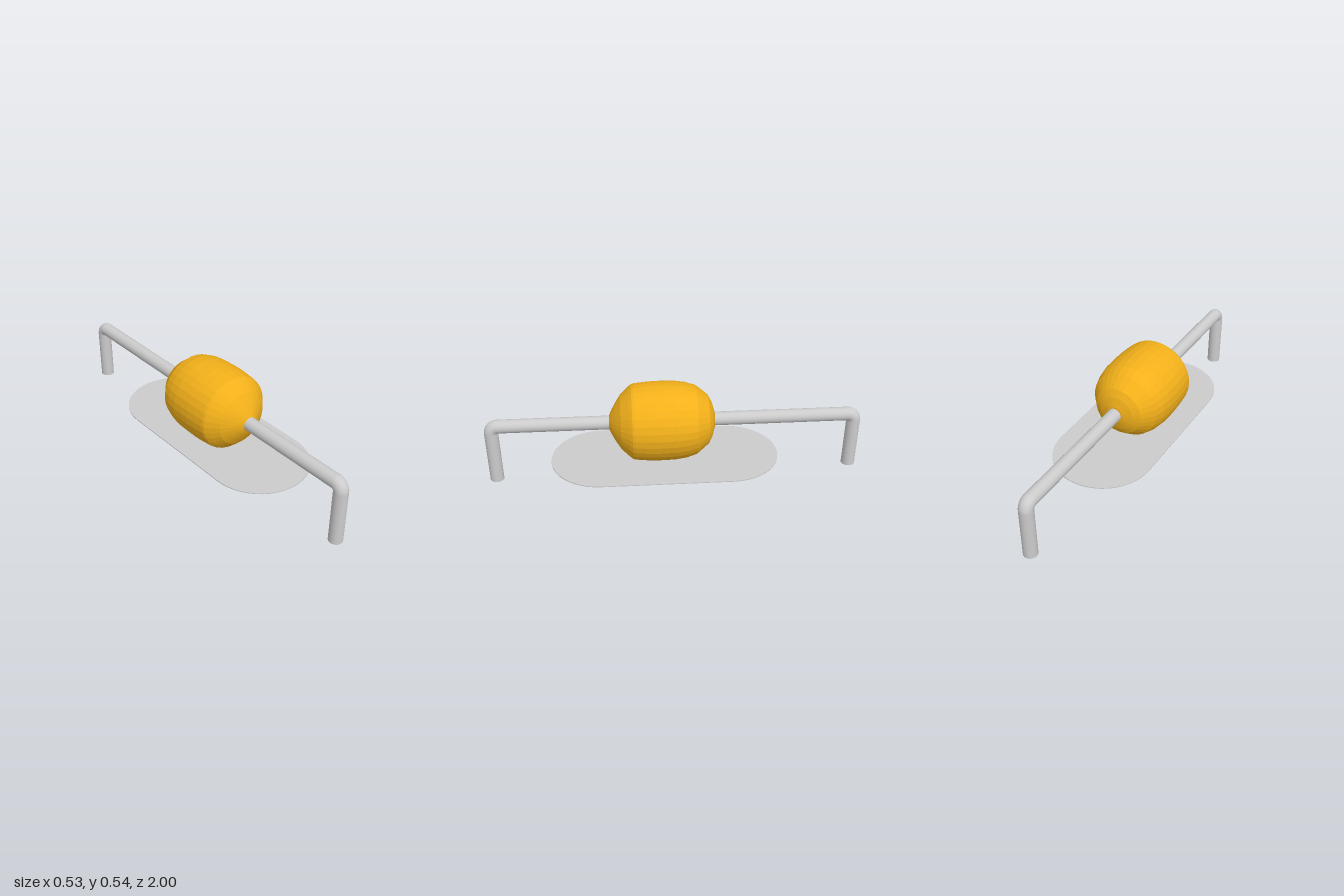
import * as THREE from 'three';

const AXIS_X = -0.02, AXIS_Y = 0.33, WIRE_R = 0.0365;

export function createModel() {
  const model = new THREE.Group();
  const grey = new THREE.MeshStandardMaterial({ color: 0xcccccc });
  const amber = new THREE.MeshStandardMaterial({ color: 0xf2b01a, flatShading: true });

  const add = (name, geometry, material, x, y, z) => {
    const mesh = new THREE.Mesh(geometry, material);
    mesh.name = name;
    mesh.position.set(x, y, z);
    model.add(mesh);
    return mesh;
  };

  // Bulbous body, turned around the z axis: [radius, z] from back to front
  const profile = [
    [0, -0.214], [0.045, -0.211], [0.095, -0.196], [0.132, -0.176], [0.183, -0.113],
    [0.2, -0.06], [0.208, -0.005], [0.21, 0.06], [0.21, 0.1], [0.207, 0.155], [0.201, 0.212],
    [0.197, 0.225], [0.183, 0.242], [0.143, 0.284], [0.1, 0.312], [0.068, 0.33], [0.036, 0.345], [0, 0.347],
  ].map(([r, z]) => new THREE.Vector2(r, z));
  add('body', new THREE.LatheGeometry(profile, 32), amber, AXIS_X, AXIS_Y, 0).rotation.x = Math.PI / 2;

  // Straight wire through the body
  const bendZ = 1 - 2 * WIRE_R;
  const bendY = AXIS_Y - WIRE_R;
  add('wire', new THREE.CylinderGeometry(WIRE_R, WIRE_R, 2 * bendZ, 24), grey, AXIS_X, AXIS_Y, 0)
    .rotation.x = Math.PI / 2;

  // Bent ends: a tight elbow and a leg on each side; the back leg is slightly shorter
  for (const [side, s, bottom] of [['front', 1, 0], ['back', -1, 0.015]]) {
    const elbow = new THREE.TorusGeometry(WIRE_R, WIRE_R, 24, 10, Math.PI / 2);
    add(side + 'Elbow', elbow, grey, AXIS_X, bendY, s * bendZ).rotation.y = -s * Math.PI / 2;
    const length = bendY - bottom;
    add(side + 'Leg', new THREE.CylinderGeometry(WIRE_R, WIRE_R, length, 24), grey,
      AXIS_X, bottom + length / 2, s * (1 - WIRE_R));
  }

  // Thin base plate with round ends, drawn flat and laid down
  const radius = 0.266, half = 0.342;
  const outline = new THREE.Shape();
  outline.absarc(0, half, radius, 0, Math.PI, false);
  outline.absarc(0, -half, radius, Math.PI, 2 * Math.PI, false);
  outline.closePath();
  const plate = new THREE.ExtrudeGeometry(outline, { depth: 0.005, bevelEnabled: false, curveSegments: 12 });
  add('basePlate', plate, grey, 0, 0.12, 0.053).rotation.x = -Math.PI / 2;

  return model;
}
